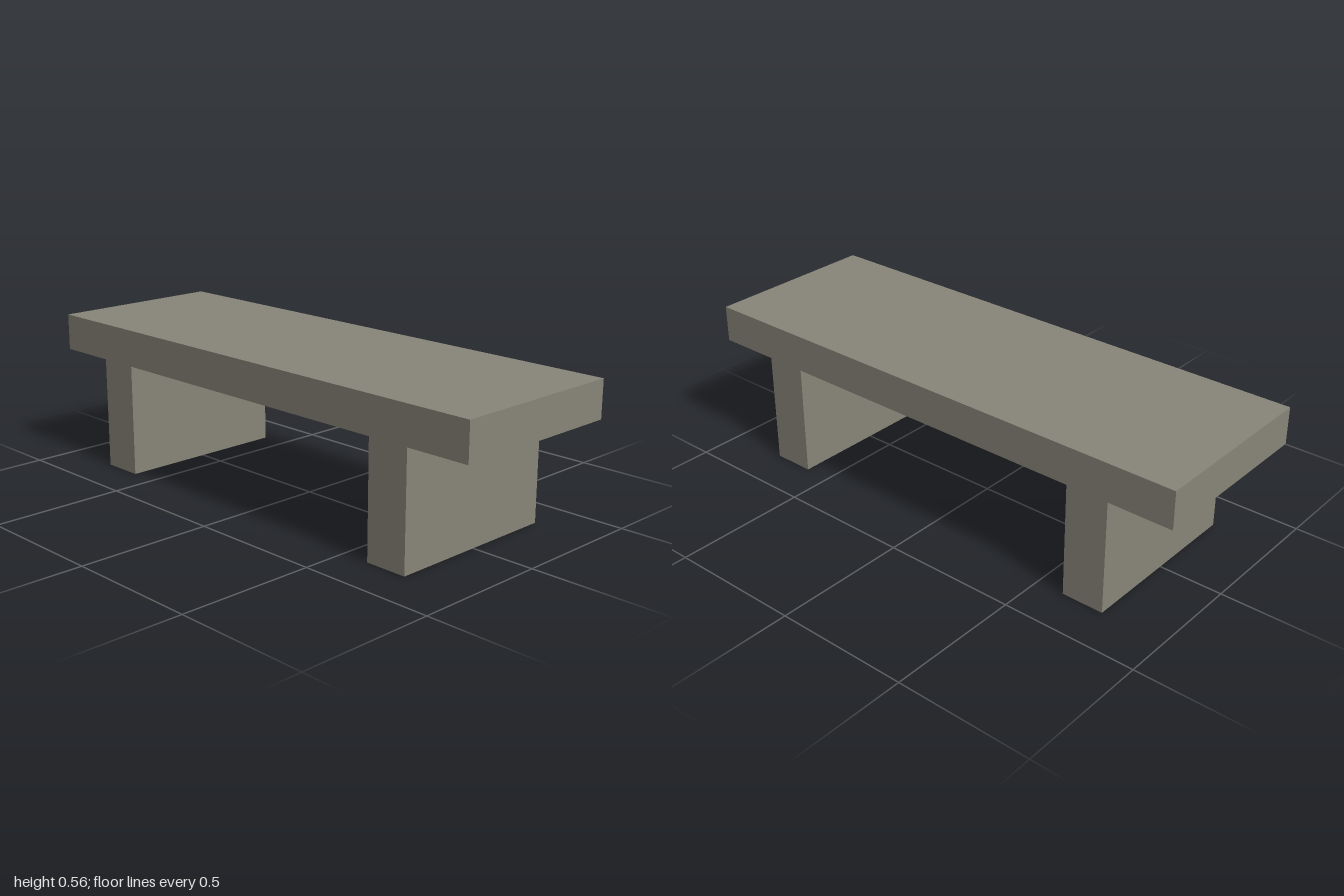
import * as THREE from 'three';

export function createModel() {
  const group = new THREE.Group();
  group.name = 'bench';
  const stone = new THREE.MeshStandardMaterial({ color: 0x888578 });
  stone.name = 'warm grey stone';

  const width = 0.667, height = 0.556, underside = 0.419;
  const half = 1, legOuter = 0.763, legInner = 0.605;

  // Side outline of slab and two legs: right half, then mirrored
  const side = [
    [legInner, underside], [legInner, 0], [legOuter, 0],
    [legOuter, underside], [half, underside], [half, height],
  ];
  const mirrored = side.map(([z, y]) => [-z, y]).reverse();
  const outline = new THREE.Shape([...side, ...mirrored].map(([z, y]) => new THREE.Vector2(z, y)));

  // Seat and legs in one piece, extruded across the width
  const geometry = new THREE.ExtrudeGeometry(outline, { depth: width, bevelEnabled: false });
  geometry.translate(0, 0, -width / 2);
  geometry.rotateY(-Math.PI / 2);
  const bench = new THREE.Mesh(geometry, stone);
  bench.name = 'seatAndLegs';
  group.add(bench);
  return group;
}
